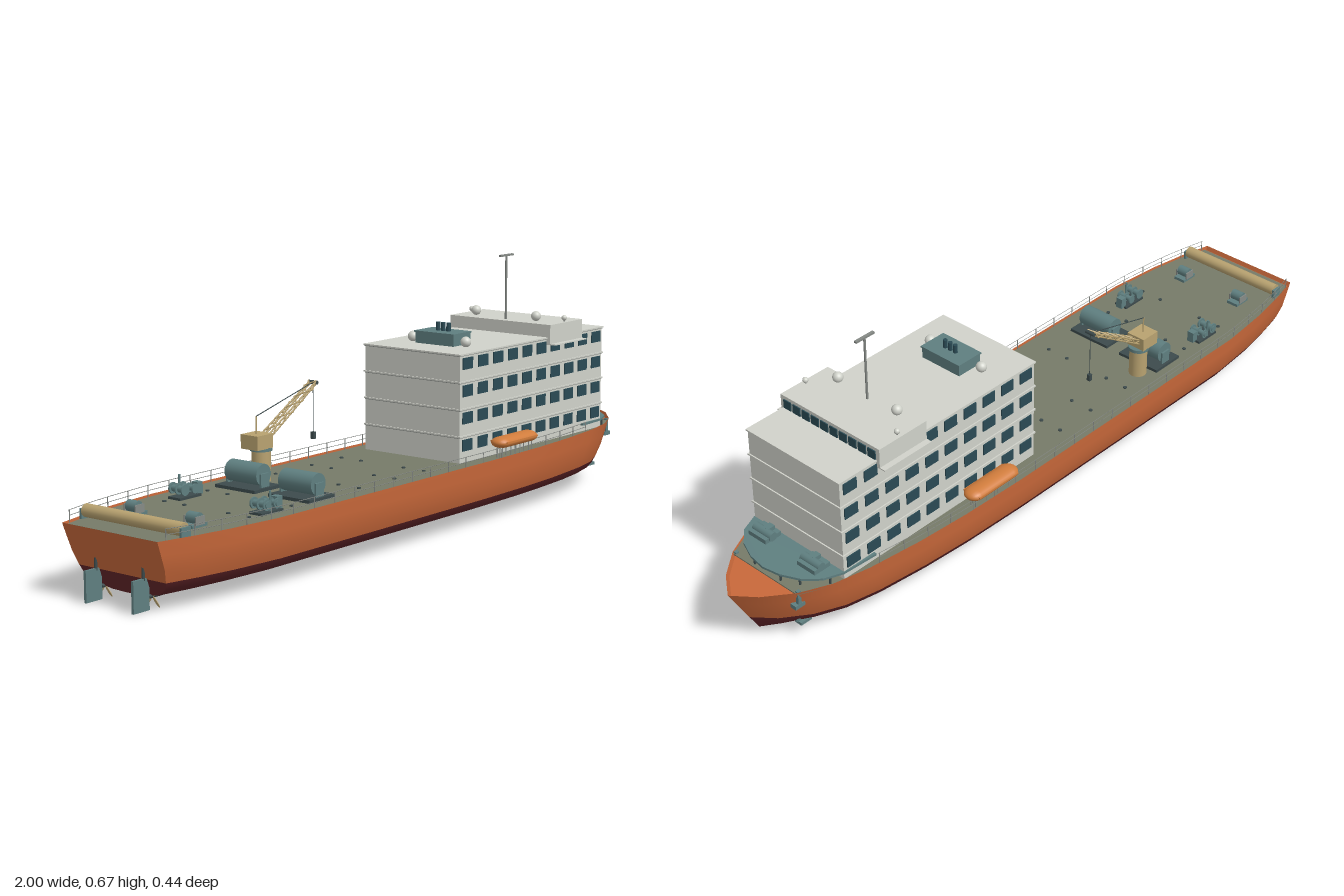
import * as THREE from 'three';

const mat = (name, color, side = THREE.FrontSide) => {
  const m = new THREE.MeshStandardMaterial({ color, side });
  m.name = name;
  return m;
};

// hull half-width along the length: [x, half width]
const PLAN = [[-0.995, 0.15], [-0.9, 0.172], [-0.8, 0.189], [-0.65, 0.204], [-0.3, 0.205], [0.2, 0.205],
  [0.4, 0.2], [0.55, 0.19], [0.7, 0.172], [0.8, 0.15], [0.88, 0.113], [0.95, 0.058], [0.995, 0]];
const halfWidth = (x) => {
  for (let i = 1; i < PLAN.length; i++) {
    const [x0, w0] = PLAN[i - 1], [x1, w1] = PLAN[i];
    if (x <= x1) return w0 + (w1 - w0) * Math.max(0, (x - x0) / (x1 - x0));
  }
  return 0;
};
const TOP = 0.175, DECK = 0.17;

// one colour band of the hull from levels [y, width factor], top to bottom, with its transom
function hullBand(levels) {
  const pos = [], idx = [], n = levels.length;
  const point = (x, [y, f], s) => {
    const k = (TOP - y) / 0.15, t = (x + 0.995) / 1.99;
    return [x + k * (0.055 * (1 - t) - 0.085 * t), y, s * halfWidth(x) * f];
  };
  for (const s of [1, -1]) {
    const base = pos.length / 3;
    PLAN.forEach(([x]) => levels.forEach((l) => pos.push(...point(x, l, s))));
    for (let i = 0; i < PLAN.length - 1; i++) for (let j = 0; j < n - 1; j++) {
      const a = base + i * n + j, b = a + 1, d = a + n, c = d + 1;
      if (s > 0) idx.push(a, b, c, a, c, d); else idx.push(a, c, b, a, d, c);
    }
  }
  const base = pos.length / 3;
  levels.forEach((l) => pos.push(...point(-0.995, l, -1), ...point(-0.995, l, 1)));
  for (let j = 0; j < n - 1; j++) {
    const a = base + 2 * j, d = a + 1, b = a + 2, c = a + 3;
    idx.push(a, b, c, a, c, d);
  }
  const g = new THREE.BufferGeometry();
  g.setAttribute('position', new THREE.Float32BufferAttribute(pos, 3));
  g.setIndex(idx);
  g.computeVertexNormals();
  return g;
}

// symmetric flat plate from a half outline of [x, half width]
function plate(outline, thickness) {
  const pts = [...outline.map(([x, w]) => new THREE.Vector2(x, -w)),
    ...outline.slice().reverse().map(([x, w]) => new THREE.Vector2(x, w))];
  return new THREE.ExtrudeGeometry(new THREE.Shape(pts), { depth: thickness, bevelEnabled: false }).rotateX(-Math.PI / 2);
}

export function createModel() {
  const model = new THREE.Group();
  model.name = 'supplyShip';
  const orange = mat('hull orange', 0xc8683a, THREE.DoubleSide), red = mat('bottom red', 0x602428, THREE.DoubleSide);
  const olive = mat('deck olive', 0x767a68), white = mat('house white', 0xd0d2ca);
  const glass = mat('window blue', 0x2a4a54), teal = mat('machinery teal', 0x5f7f80);
  const tan = mat('crane tan', 0xb8a270), boatOrange = mat('lifeboat orange', 0xd07c3c);
  const grey = mat('rail grey', 0x868a86), dark = mat('dark steel', 0x3c4a4c);

  const add = (name, geo, m, x = 0, y = 0, z = 0, parent = model) => {
    const mesh = new THREE.Mesh(geo, m);
    mesh.name = name;
    mesh.position.set(x, y, z);
    parent.add(mesh);
    return mesh;
  };
  const box = (name, m, w, h, d, x, y, z) => add(name, new THREE.BoxGeometry(w, h, d), m, x, y, z);
  const rod = (name, m, r, a, b, sides = 6) => {
    const p = new THREE.Vector3(...a), q = new THREE.Vector3(...b), dir = q.clone().sub(p);
    const mesh = add(name, new THREE.CylinderGeometry(r, r, dir.length(), sides), m);
    mesh.position.copy(p).add(q).multiplyScalar(0.5);
    mesh.quaternion.setFromUnitVectors(new THREE.Vector3(0, 1, 0), dir.normalize());
    return mesh;
  };
  const ball = (name, m, r, x, y, z) => add(name, new THREE.SphereGeometry(r, 20, 14), m, x, y, z);

  // hull and decks
  add('hullSides', hullBand([[TOP, 1], [0.14, 0.99], [0.105, 0.975], [0.072, 0.915]]), orange);
  add('hullBottom', hullBand([[0.072, 0.915], [0.055, 0.865], [0.036, 0.68], [0.026, 0.32], [0.025, 0]]), red);
  add('hullCap', plate(PLAN.map(([x, w]) => [x * 0.99, w * 0.985]), 0.002), orange, 0, DECK - 0.005);
  add('mainDeck', plate([[-0.98, 0.147], ...PLAN.slice(1, -2).map(([x, w]) => [x, w * 0.985])], 0.003), olive, 0, DECK - 0.003);
  add('foredeck', plate([[0.67, 0.163], [0.77, 0.157], [0.82, 0.137], [0.855, 0.1], [0.877, 0.05], [0.885, 0.001]], 0.006), teal, 0, 0.189);

  // accommodation block: four tiers with slab edges and side windows
  for (let i = 0; i < 4; i++) {
    const y = 0.172 + i * 0.071;
    box('houseTier', white, 0.664, 0.066, 0.31, 0.437, y + 0.033, 0);
    box('houseSlabShadow', grey, 0.667, 0.003, 0.313, 0.437, y + 0.0665, 0);
    box('houseSlab', white, 0.671, 0.004, 0.317, 0.437, y + 0.069, 0);
    for (const s of [1, -1]) for (let k = 0; k < 10; k++)
      box('houseWindow', glass, 0.042, 0.03, 0.005, 0.137 + k * 0.0667, y + 0.045, s * 0.1555);
  }

  // wheelhouse
  box('wheelhouse', white, 0.155, 0.053, 0.334, 0.573, 0.4635, 0);
  box('bridgeWing', white, 0.155, 0.003, 0.366, 0.573, 0.437, 0);
  for (let k = 0; k < 10; k++) box('bridgeWindow', glass, 0.005, 0.024, 0.025, 0.651, 0.469, (k - 4.5) * 0.0317);

  // mast and domes
  rod('mast', grey, 0.003, [0.525, 0.49, 0], [0.525, 0.666, 0], 8);
  box('mastCrossbar', grey, 0.06, 0.005, 0.008, 0.525, 0.665, 0);
  for (const s of [1, -1]) {
    ball('radarDome', white, 0.0135, 0.525, 0.506, s * 0.1);
    ball('smallDome', white, 0.0075, 0.58, 0.5, s * 0.155);
    rod('smallDomePost', grey, 0.002, [0.58, 0.488, s * 0.155], [0.58, 0.496, s * 0.155]);
    ball('roofDome', white, 0.014, 0.222, 0.469, s * 0.087);
  }

  // funnel casing with exhausts
  box('funnelCasing', teal, 0.075, 0.03, 0.125, 0.238, 0.47, 0);
  box('funnelTop', teal, 0.08, 0.004, 0.13, 0.238, 0.487, 0);
  for (const z of [-0.017, 0, 0.017]) rod('exhaustPipe', glass, 0.006, [0.24, 0.485, z], [0.24, 0.511, z], 12);

  for (const s of [1, -1]) {
    // lifeboat on its cradle
    const boat = add('lifeboat', new THREE.CapsuleGeometry(0.027, 0.118, 8, 20).rotateZ(Math.PI / 2), boatOrange, 0.3, 0.212, s * 0.19);
    boat.scale.y = 0.55;
    box('lifeboatGunwale', boatOrange, 0.14, 0.004, 0.055, 0.3, 0.214, s * 0.19);
    for (const x of [0.24, 0.28, 0.32, 0.36]) for (const z of [0.178, 0.194])
      rod('cradlePost', grey, 0.0016, [x, DECK, s * z], [x, 0.202, s * z]);

    // storage reel on a frame
    box('reelBase', dark, 0.096, 0.008, 0.13, -0.438, DECK + 0.004, s * 0.087);
    rod('reelDrum', teal, 0.027, [-0.438, 0.208, s * 0.035], [-0.438, 0.208, s * 0.139], 24);
    for (const z of [0.032, 0.142]) box('reelStand', teal, 0.03, 0.04, 0.005, -0.438, 0.192, s * z);

    // deck winches
    box('winchBase', dark, 0.075, 0.006, 0.04, -0.615, DECK + 0.003, s * 0.13);
    for (const [x, y, r] of [[-0.635, 0.194, 0.014], [-0.6, 0.192, 0.012]]) {
      rod('winchDrum', teal, r * 0.6, [x, y, s * 0.108], [x, y, s * 0.155], 12);
      for (const z of [0.11, 0.13, 0.15]) rod('winchFlange', teal, r, [x, y, s * (z - 0.002)], [x, y, s * (z + 0.002)], 16);
    }
    box('winchMotor', teal, 0.018, 0.03, 0.02, -0.575, 0.188, s * 0.127);
    rod('winchLever', teal, 0.003, [-0.618, DECK, s * 0.145], [-0.618, 0.225, s * 0.145]);
    box('sternWinchBase', teal, 0.05, 0.008, 0.035, -0.82, DECK + 0.004, s * 0.095);
    rod('sternWinchDrum', teal, 0.014, [-0.82, 0.19, s * 0.08], [-0.82, 0.19, s * 0.112], 16);
    for (const z of [0.078, 0.113]) box('sternWinchCheek', grey, 0.03, 0.02, 0.003, -0.82, 0.186, s * z);

    // foredeck windlass
    box('windlassBase', teal, 0.05, 0.016, 0.06, 0.8, 0.199, s * 0.085);
    rod('windlassDrum', teal, 0.012, [0.802, 0.206, s * 0.052], [0.802, 0.206, s * 0.115], 16);
    box('windlassMotor', teal, 0.022, 0.02, 0.018, 0.79, 0.208, s * 0.08);
    for (const [x, z] of [[0.8, 0.14], [0.85, 0.09], [0.87, 0.045]])
      rod('foredeckPost', dark, 0.003, [x, DECK, s * z], [x, 0.19, s * z]);

    // bow anchor and lower thruster fitting
    box('anchorShank', teal, 0.01, 0.045, 0.009, 0.873, 0.152, s * 0.108);
    box('anchorCrown', teal, 0.03, 0.011, 0.018, 0.873, 0.132, s * 0.104);
    box('thrusterPlate', teal, 0.034, 0.008, 0.022, 0.835, 0.045, s * 0.075);
    const grille = box('thrusterFin', teal, 0.022, 0.022, 0.006, 0.84, 0.053, s * 0.074);
    grille.rotation.z = 0.5;

    // propeller and rudder
    box('rudder', teal, 0.05, 0.075, 0.007, -0.975, 0.0375, s * 0.075);
    rod('rudderStock', dark, 0.004, [-0.965, 0.07, s * 0.075], [-0.965, 0.1, s * 0.075], 8);
    rod('propellerShaft', dark, 0.005, [-0.9, 0.03, s * 0.075], [-0.95, 0.03, s * 0.075], 10);
    const propeller = new THREE.Group();
    propeller.name = 'propeller';
    propeller.position.set(-0.938, 0.03, s * 0.075);
    for (let k = 0; k < 4; k++) {
      const arm = new THREE.Group();
      arm.rotation.x = Math.PI / 4 + k * Math.PI / 2;
      const blade = add('blade', new THREE.SphereGeometry(1, 12, 8), tan, 0, 0.017, 0, arm);
      blade.scale.set(0.002, 0.016, 0.008);
      blade.rotation.y = 0.5;
      propeller.add(arm);
    }
    model.add(propeller);

    // side railing following the deck edge
    const path = [];
    for (let x = -0.97; x < 0.7; x += 0.0745) path.push([x, halfWidth(x) * 0.975 * s]);
    path.forEach(([x, z]) => rod('railPost', grey, 0.0013, [x, DECK, z], [x, 0.2, z], 5));
    for (const y of [0.187, 0.2]) {
      const curve = new THREE.CatmullRomCurve3(path.map(([x, z]) => new THREE.Vector3(x, y, z)));
      add('handrail', new THREE.TubeGeometry(curve, 60, 0.0008, 4), grey);
    }

    // deck sockets
    for (const x of [-0.68, -0.53, -0.28, -0.14, -0.02]) for (const z of [0.07, 0.135])
      rod('deckSocket', dark, 0.005, [x, DECK - 0.002, s * z], [x, DECK + 0.003, s * z], 10);
  }

  // stern roller
  rod('sternRoller', tan, 0.016, [-0.915, 0.189, -0.155], [-0.915, 0.189, 0.155], 20);
  for (const z of [-0.158, 0.158]) box('rollerBracket', teal, 0.03, 0.026, 0.006, -0.915, 0.182, z);

  // deck crane with lattice boom
  const cz = -0.112;
  rod('cranePedestal', tan, 0.024, [-0.36, DECK, cz], [-0.36, 0.25, cz], 20);
  rod('craneSlewRing', teal, 0.028, [-0.36, 0.247, cz], [-0.36, 0.256, cz], 20);
  box('craneCab', tan, 0.058, 0.036, 0.055, -0.375, 0.273, cz);
  const foot = [-0.35, 0.276], tip = [-0.16, 0.392];
  const along = (t, up) => [foot[0] + (tip[0] - foot[0]) * t - up * 0.5, foot[1] + (tip[1] - foot[1]) * t + up];
  for (const dz of [-0.012, 0.012]) for (const up of [-0.005, 0.005])
    rod('boomChord', tan, 0.0022, [...along(0, up), cz + dz], [...along(1, up * 0.5), cz + dz * 0.8]);
  for (let k = 0; k < 10; k++) {
    const a = k / 10, b = (k + 1) / 10, s = k % 2 ? 1 : -1;
    rod('boomBrace', tan, 0.0018, [...along(a, 0.005), cz - s * 0.012], [...along(b, 0.005), cz + s * 0.012]);
    for (const dz of [-0.012, 0.012])
      rod('boomWeb', tan, 0.0018, [...along(a, -s * 0.005), cz + dz], [...along(b, s * 0.005), cz + dz]);
  }
  rod('boomHead', dark, 0.005, [...tip, cz - 0.014], [...tip, cz + 0.014], 10);
  rod('craneStay', dark, 0.0012, [-0.377, 0.335, cz], [...tip, cz]);
  rod('craneGantry', tan, 0.002, [-0.377, 0.29, cz], [-0.377, 0.335, cz]);
  rod('hoistWire', dark, 0.001, [...tip, cz], [-0.16, 0.262, cz]);
  box('hookBlock', dark, 0.01, 0.018, 0.01, -0.16, 0.255, cz);

  return model;
}
